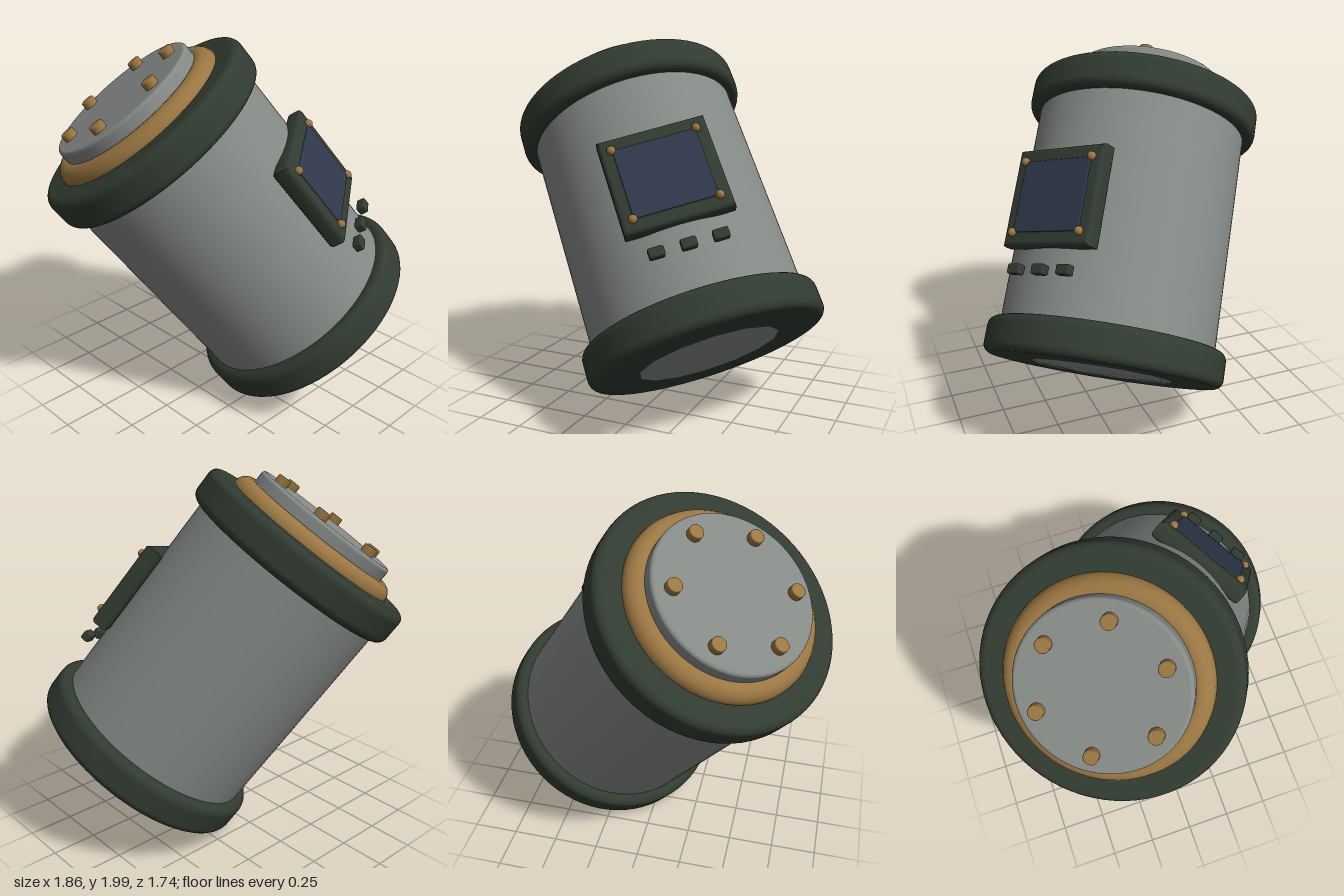
import * as THREE from 'three';
import { toCreasedNormals } from 'three/addons/utils/BufferGeometryUtils.js';
import { RoundedBoxGeometry } from 'three/addons/geometries/RoundedBoxGeometry.js';

const material = (name, color) => {
  const m = new THREE.MeshStandardMaterial({ color });
  m.name = name;
  return m;
};

// Solid disc with rounded rims, centred on y = 0
function roundedDisc(radius, height, round, segments = 72) {
  const points = [new THREE.Vector2(0, -height / 2)];
  for (const side of [-1, 1]) {
    for (let i = 0; i <= 6; i++) {
      const a = (side < 0 ? i - 6 : i) * Math.PI / 12;
      points.push(new THREE.Vector2(
        radius - round + round * Math.cos(a),
        side * (height / 2 - round) + round * Math.sin(a)));
    }
  }
  points.push(new THREE.Vector2(0, height / 2));
  return new THREE.LatheGeometry(points, segments);
}

export function createModel() {
  const steel = material('grey steel', 0x858a87);
  const rubber = material('dark green', 0x313b31);
  const brass = material('brass', 0x9a7642);
  const glass = material('dark blue glass', 0x2f384a);

  const model = new THREE.Group();
  model.name = 'canister';
  const tilted = new THREE.Group();
  tilted.name = 'tiltedCanister';
  model.add(tilted);

  const add = (name, geometry, mat, x = 0, y = 0, z = 0) => {
    const mesh = new THREE.Mesh(geometry, mat);
    mesh.name = name;
    mesh.position.set(x, y, z);
    tilted.add(mesh);
    return mesh;
  };

  // Drum and its two bumper rings
  add('drum', new THREE.CylinderGeometry(0.582, 0.582, 1.4, 72), steel);
  for (const [name, y] of [['bottomRing', -0.69], ['topRing', 0.69]]) {
    add(name, roundedDisc(0.645, 0.19, 0.045), rubber, 0, y, 0);
  }

  // Shallow plate under the base
  const plate = [[0, -0.8], [0.2, -0.796], [0.4, -0.784]].map(p => new THREE.Vector2(...p));
  add('basePlate', new THREE.LatheGeometry(plate, 14), steel);

  // Brass collar, lid and lid bolts
  const collar = add('collar', new THREE.TorusGeometry(0.44, 0.07, 20, 72), brass, 0, 0.785, 0);
  collar.rotation.x = Math.PI / 2;
  add('lid', roundedDisc(0.425, 0.16, 0.02), steel, 0, 0.845, 0);
  for (let i = 0; i < 6; i++) {
    const a = i * Math.PI / 3;
    add('lidBolt', roundedDisc(0.038, 0.06, 0.006, 20), brass,
      0.327 * Math.cos(a), 0.935, 0.327 * Math.sin(a));
  }

  // Display panel with bevelled frame
  const w = 0.255, h = 0.235;
  const outline = new THREE.Shape([[-w, -h], [w, -h], [w, h], [-w, h]].map(p => new THREE.Vector2(...p)));
  const frame = new THREE.ExtrudeGeometry(outline, {
    depth: 0.05, bevelEnabled: true, bevelSize: 0.025, bevelThickness: 0.025, bevelSegments: 4,
  });
  add('panelFrame', toCreasedNormals(frame, 0.6), rubber, 0, 0, 0.557);
  add('screen', new RoundedBoxGeometry(0.43, 0.38, 0.02, 2, 0.006), glass, 0, 0, 0.63);
  for (const x of [-0.219, 0.219]) {
    for (const y of [-0.19, 0.19]) {
      add('panelStud', new THREE.SphereGeometry(0.023, 16, 12), brass, x, y, 0.638);
    }
  }

  // Row of buttons below the panel
  for (const x of [-0.16, 0, 0.16]) {
    add('button', new RoundedBoxGeometry(0.08, 0.053, 0.05, 2, 0.01), rubber, x, -0.38, 0.62);
  }

  // Lean the whole canister
  const up = new THREE.Vector3(-0.489, 0.793, -0.362).normalize();
  const front = new THREE.Vector3(0.344, 0.557, 0.756);
  const side = new THREE.Vector3().crossVectors(up, front).normalize();
  front.crossVectors(side, up);
  tilted.quaternion.setFromRotationMatrix(new THREE.Matrix4().makeBasis(side, up, front));
  tilted.position.set(0, 1, 0);
  return model;
}
